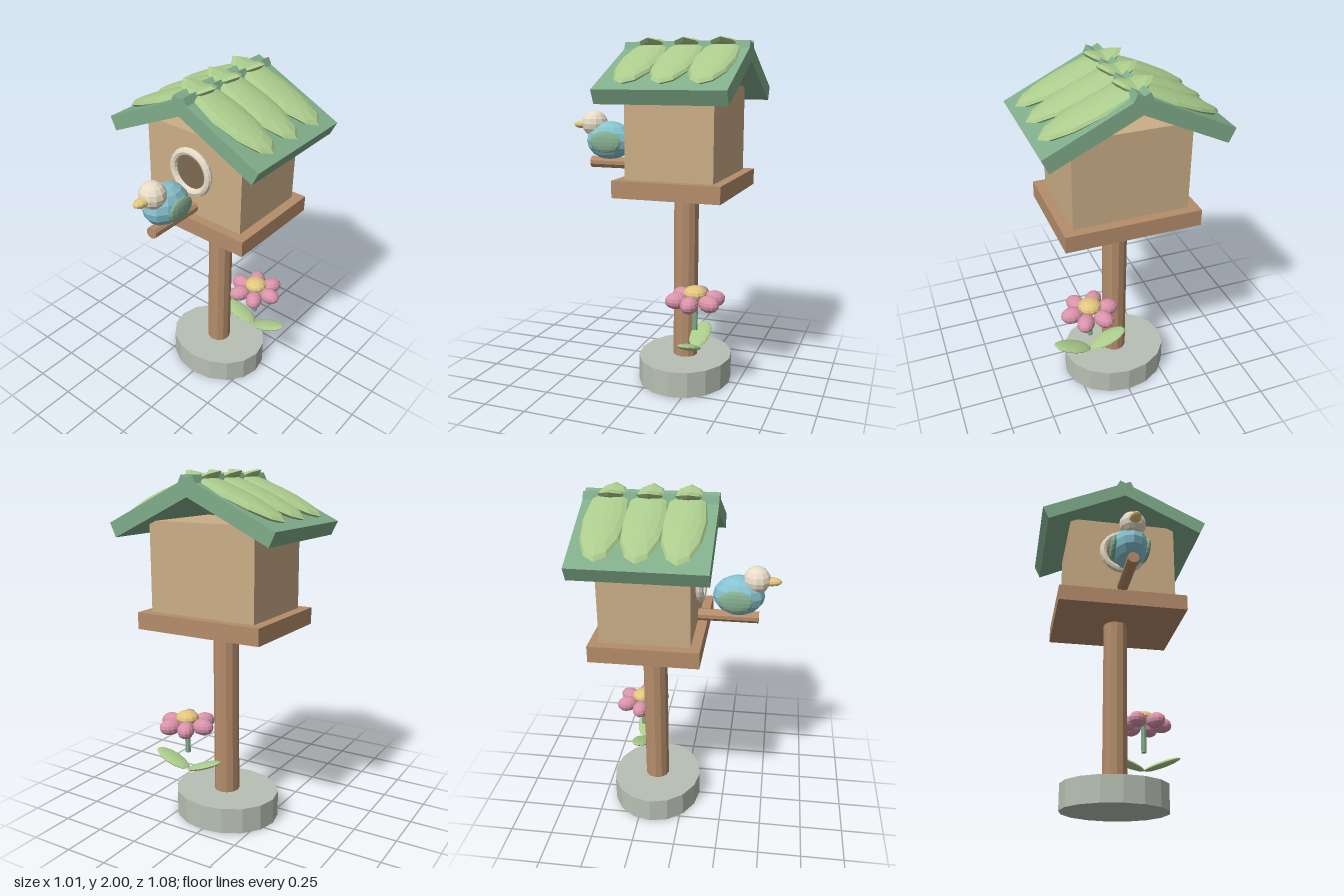
import * as THREE from 'three';

const mat = (color) => new THREE.MeshStandardMaterial({ color, flatShading: true, roughness: 0.9 });
const M = {
  stone: mat(0xb8c0b4), wood: mat(0xb58d6b), wall: mat(0xcbae86), roof: mat(0x80ad8b),
  leaf: mat(0xabcb8c), cream: mat(0xe8dcc8), dark: mat(0x7d6a52), blue: mat(0x86c3d0),
  wing: mat(0x86b092), yellow: mat(0xe2c67e), pink: mat(0xd993ab), stem: mat(0x80ad8b),
};

export function createModel() {
  const root = new THREE.Group();
  const AXIS_Z = -0.175; // post axis

  const add = (name, geo, material, x, y, z, parent = root) => {
    const m = new THREE.Mesh(geo, material);
    m.name = name;
    m.position.set(x, y, z);
    parent.add(m);
    return m;
  };
  // faceted ellipsoid with half sizes a, b, c
  const blob = (name, material, [a, b, c], [x, y, z], parent = root) =>
    add(name, new THREE.SphereGeometry(1, 12, 8).scale(a, b, c), material, x, y, z, parent);
  const group = (name) => {
    const g = new THREE.Group();
    g.name = name;
    root.add(g);
    return g;
  };

  // stone foot and post
  add('stoneBase', new THREE.CylinderGeometry(1, 1, 0.15, 16).scale(0.313, 1, 0.273), M.stone, 0, 0.075, AXIS_Z);
  add('post', new THREE.CylinderGeometry(0.073, 0.073, 1.0, 12), M.wood, 0, 0.645, AXIS_Z);

  // house
  add('platform', new THREE.BoxGeometry(0.766, 0.095, 0.61), M.wood, 0, 1.188, AXIS_Z);
  add('houseBox', new THREE.BoxGeometry(0.65, 0.5, 0.5), M.wall, 0, 1.485, AXIS_Z);

  // crossing roof slabs, each with three long leaves lapping over the ridge
  const roof = group('roof');
  const pitch = 0.446, thick = 0.0845;
  for (const s of [-1, 1]) {
    const slab = add('roofSlab', new THREE.BoxGeometry(0.594, thick, 0.725), M.roof,
      s * (0.235 - Math.sin(pitch) * thick / 2), 1.8515 - Math.cos(pitch) * thick / 2, AXIS_Z, roof);
    slab.rotation.z = -s * pitch;
    for (const z of [0.026, -0.18, -0.387]) {
      const leaf = blob('roofLeaf', M.leaf, [0.317, 0.037, 0.118], [s * 0.185, 1.876, z], roof);
      leaf.rotation.z = -s * 0.39;
    }
  }

  // entrance hole with rim
  add('entranceHole', new THREE.CylinderGeometry(0.115, 0.115, 0.03, 20).rotateX(Math.PI / 2), M.dark, 0, 1.513, 0.077);
  add('entranceRim', new THREE.TorusGeometry(0.121, 0.022, 8, 24), M.cream, 0, 1.513, 0.098);

  // perch
  add('perch', new THREE.CylinderGeometry(0.034, 0.034, 0.343, 10).rotateX(Math.PI / 2), M.wood, 0, 1.285, 0.2515);

  // bird
  const bird = group('bird');
  blob('birdBody', M.blue, [0.103, 0.114, 0.146], [0, 1.416, 0.306], bird);
  blob('birdHead', M.cream, [0.077, 0.077, 0.077], [0, 1.512, 0.402], bird);
  blob('birdBeak', M.yellow, [0.034, 0.024, 0.062], [0, 1.505, 0.478], bird);
  for (const s of [-1, 1]) {
    const wing = blob('birdWing', M.wing, [0.021, 0.064, 0.097], [s * 0.095, 1.413, 0.293], bird);
    wing.rotation.y = s * 0.06;
  }

  // flower beside the post
  const flower = group('flower');
  flower.position.set(0.196, 0, -0.294);
  add('flowerStem', new THREE.CylinderGeometry(0.016, 0.016, 0.19, 8), M.stem, 0, 0.475, 0, flower);
  blob('flowerCentre', M.yellow, [0.068, 0.042, 0.068], [0, 0.594, 0], flower);
  for (let i = 0; i < 6; i++) {
    const a = i * Math.PI / 3;
    const petal = blob('petal', M.pink, [0.066, 0.047, 0.05],
      [Math.cos(a) * 0.108, 0.556, -Math.sin(a) * 0.108], flower);
    petal.rotation.y = a;
  }
  for (const s of [-1, 1]) {
    const leaf = blob('flowerLeaf', M.leaf, [0.121, 0.018, 0.06], [s * 0.11, 0.314, 0], flower);
    leaf.rotation.z = s * 0.36;
  }

  return root;
}
